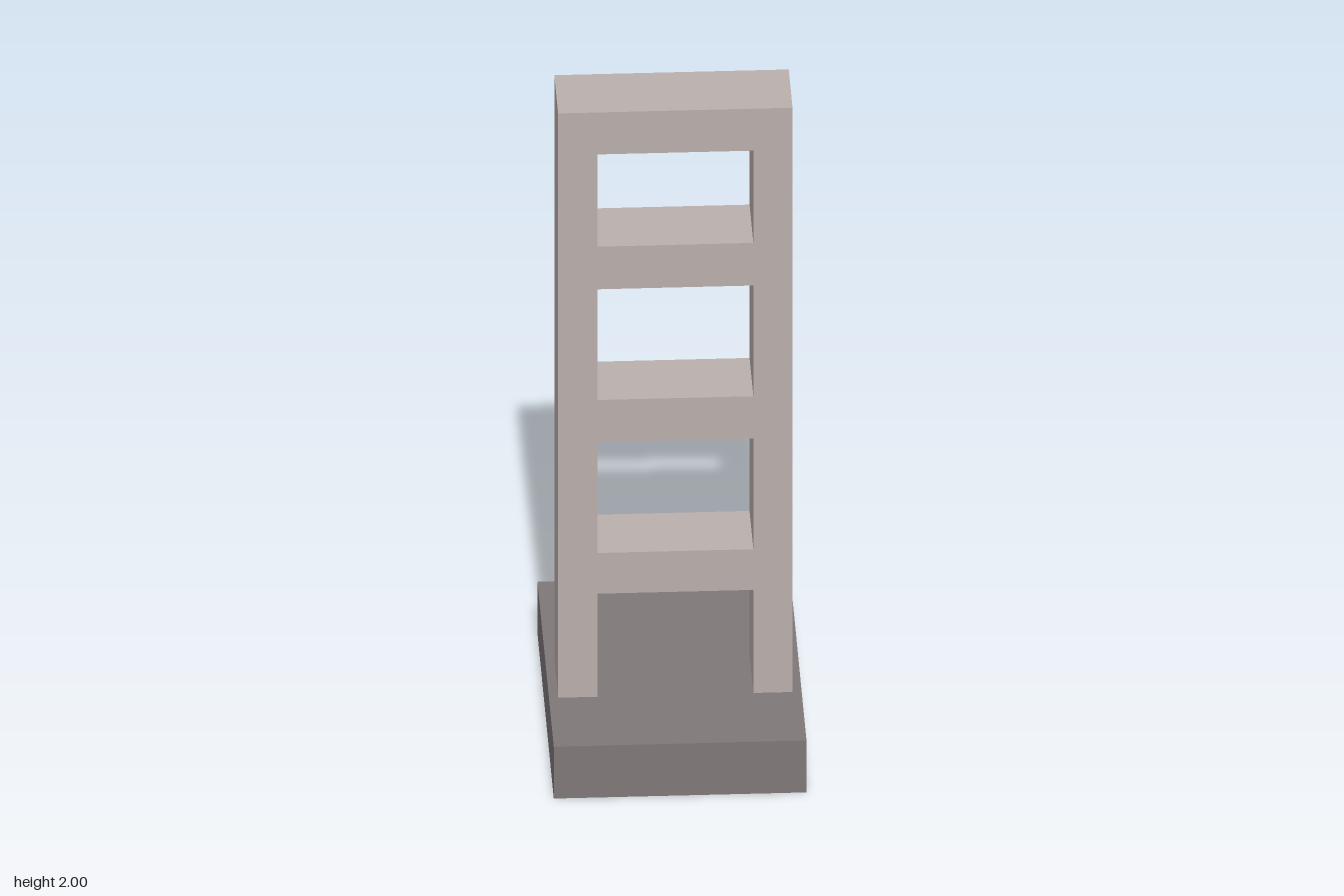
import * as THREE from 'three';

const BASE_TOP = 0.163, OUTER = 0.32, INNER = 0.213;
const Z_BACK = -0.025, DEPTH = 0.21;

export function createModel() {
  const model = new THREE.Group();
  model.name = 'ladderTower';
  const paleStone = new THREE.MeshStandardMaterial({ color: 0xbaafad });
  paleStone.name = 'paleStone';
  const darkStone = new THREE.MeshStandardMaterial({ color: 0x7f7879 });
  darkStone.name = 'darkStone';

  // Base slab
  const base = new THREE.Mesh(new THREE.BoxGeometry(0.69, BASE_TOP, 0.905), darkStone);
  base.name = 'base';
  base.position.y = BASE_TOP / 2;
  model.add(base);

  // Frame outline: two legs, open at the foot below the lowest rung
  const outline = new THREE.Shape([
    [-OUTER, BASE_TOP], [-INNER, BASE_TOP], [-INNER, 0.487], [INNER, 0.487],
    [INNER, BASE_TOP], [OUTER, BASE_TOP], [OUTER, 2], [-OUTER, 2],
  ].map(([x, y]) => new THREE.Vector2(x, y)));

  // Openings between the rungs
  for (const [low, high] of [[0.615, 0.963], [1.096, 1.444], [1.578, 1.868]]) {
    outline.holes.push(new THREE.Path([
      [-INNER, low], [-INNER, high], [INNER, high], [INNER, low],
    ].map(([x, y]) => new THREE.Vector2(x, y))));
  }

  const frame = new THREE.Mesh(
    new THREE.ExtrudeGeometry(outline, { depth: DEPTH, bevelEnabled: false }), paleStone);
  frame.name = 'ladderFrame';
  frame.position.z = Z_BACK;
  model.add(frame);

  return model;
}
